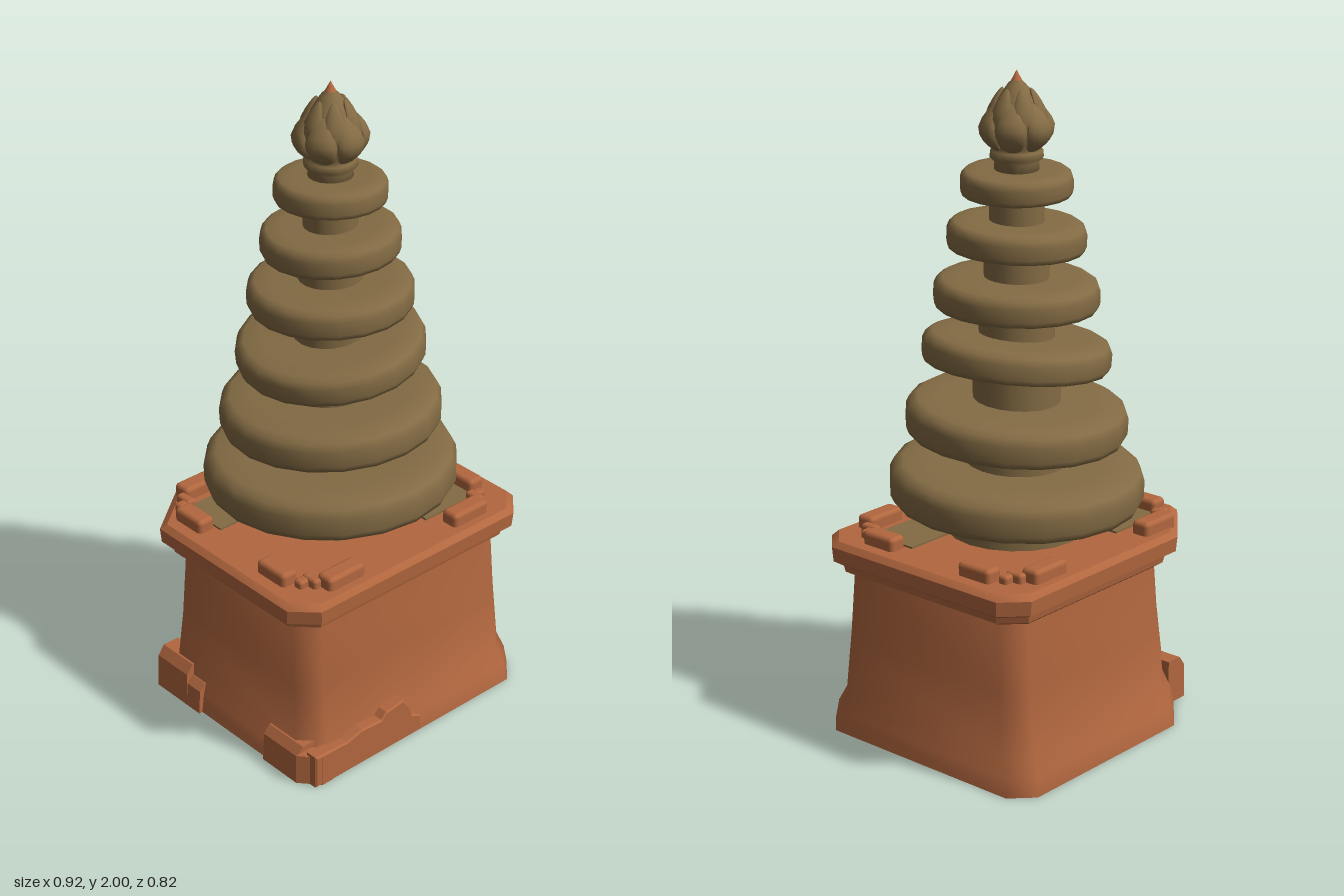
import * as THREE from 'three';
import { toCreasedNormals } from 'three/addons/utils/BufferGeometryUtils.js';
import { RoundedBoxGeometry } from 'three/addons/geometries/RoundedBoxGeometry.js';

export function createModel() {
  const model = new THREE.Group();
  const clay = new THREE.MeshStandardMaterial({ color: 0xb2673f, side: THREE.DoubleSide });
  clay.name = 'terracotta';
  const stone = new THREE.MeshStandardMaterial({ color: 0x836b44 });
  stone.name = 'olive stone';

  const add = (name, geo, mat, x = 0, y = 0, z = 0, parent = model) => {
    const m = new THREE.Mesh(geo, mat);
    m.name = name;
    m.position.set(x, y, z);
    parent.add(m);
    return m;
  };

  // Rectangle with cut corners; the back corner on -x is broken off wider
  const ring = (hx, hz, c) => [
    [hx - c, hz], [hx, hz - c], [hx, -hz + c], [hx - c, -hz],
    [-hx + 0.18, -hz], [-hx, -hz + 0.14], [-hx, hz - c], [-hx + c, hz],
  ];
  // Skin a stack of [y, halfX, halfZ, corner] sections, optionally closed on top
  const loft = (sections, crease, cap) => {
    const pos = [], idx = [];
    for (const [y, hx, hz, c] of sections) for (const [x, z] of ring(hx, hz, c)) pos.push(x, y, z);
    for (let s = 0; s < sections.length - 1; s++) {
      for (let i = 0; i < 8; i++) {
        const a = s * 8 + i, b = s * 8 + (i + 1) % 8;
        idx.push(a, b, a + 8, b, b + 8, a + 8);
      }
    }
    if (cap) {
      const o = (sections.length - 1) * 8;
      for (let i = 1; i < 7; i++) idx.push(o, o + i, o + i + 1);
    }
    const g = new THREE.BufferGeometry();
    g.setAttribute('position', new THREE.Float32BufferAttribute(pos, 3));
    g.setIndex(idx);
    return toCreasedNormals(g, crease);
  };

  // Hollow pedestal, open underneath
  add('pedestalWalls', loft([
    [0, 0.44, 0.408, 0.065], [0.06, 0.432, 0.4, 0.065], [0.11, 0.42, 0.376, 0.065],
    [0.3, 0.41, 0.356, 0.06], [0.52, 0.402, 0.342, 0.06],
  ], 0.9, false), clay);
  add('cornice', loft([
    [0.51, 0.402, 0.342, 0.06], [0.525, 0.428, 0.362, 0.065], [0.545, 0.432, 0.366, 0.065],
    [0.56, 0.455, 0.39, 0.07], [0.605, 0.458, 0.393, 0.07], [0.622, 0.442, 0.378, 0.07],
  ], 0.6, true), clay);

  // Low kerb blocks and stepped corner stones around the pedestal top
  for (const sx of [-1, 1]) {
    for (const sz of [-1, 1]) {
      add('kerbBlock', new RoundedBoxGeometry(0.14, 0.055, 0.06, 2, 0.014), clay, sx * 0.25, 0.635, sz * 0.324);
      add('kerbBlock', new RoundedBoxGeometry(0.058, 0.055, 0.12, 2, 0.014), clay, sx * 0.377, 0.635, sz * 0.188);
      add('cornerStone', new RoundedBoxGeometry(0.03, 0.04, 0.06, 2, 0.01), clay, sx * 0.33, 0.63, sz * 0.286);
      add('cornerStone', new RoundedBoxGeometry(0.06, 0.035, 0.032, 2, 0.01), clay, sx * 0.345, 0.628, sz * 0.272);
    }
  }
  // Worn paving patches at two opposite corners
  for (const s of [-1, 1]) {
    add('pavingPatch', new THREE.BoxGeometry(0.2, 0.008, 0.16), stone, s * 0.245, 0.624, s * 0.185);
  }

  // Crumbled footing: a ragged front strip and rough chunks on the -x side
  const rag = new THREE.Shape([
    [-0.42, 0], [0, 0], [-0.005, 0.045], [-0.04, 0.065], [-0.05, 0.1], [-0.075, 0.135],
    [-0.14, 0.125], [-0.16, 0.105], [-0.24, 0.11], [-0.3, 0.095], [-0.42, 0.1],
  ].map(([x, y]) => new THREE.Vector2(x, y)));
  add('ragged footing', new THREE.ExtrudeGeometry(rag, {
    depth: 0.035, bevelEnabled: true, bevelSize: 0.005, bevelThickness: 0.005, bevelSegments: 1,
  }), clay, 0, 0.005, 0.369);
  const chunk = (points, z, depth) => {
    const shape = new THREE.Shape(points.map(([x, y]) => new THREE.Vector2(x, y)));
    add('footing chunk', new THREE.ExtrudeGeometry(shape, { depth, bevelEnabled: false }), clay, 0, 0, z);
  };
  const side = [[-0.452, 0], [-0.37, 0], [-0.37, 0.14], [-0.425, 0.14], [-0.447, 0.11]];
  chunk(side, -0.3, 0.14);
  chunk(side.map(([x, y]) => [x, y * 0.72]), -0.16, 0.06);
  chunk(side.map(([x, y]) => [x, y * 0.85]), 0.2, 0.15);
  // Angled piece joining the front strip and the side chunk
  const corner = new THREE.Shape([[-0.452, -0.35], [-0.4, -0.41], [-0.36, -0.41], [-0.37, -0.33]]
    .map(([x, y]) => new THREE.Vector2(x, y)));
  const cornerGeo = new THREE.ExtrudeGeometry(corner, { depth: 0.1, bevelEnabled: false });
  cornerGeo.rotateX(-Math.PI / 2);
  add('footing corner', cornerGeo, clay);

  // Stepped shaft: [bottom, top, radius]
  for (const [y0, y1, r] of [
    [0.61, 0.77, 0.21], [0.77, 0.97, 0.155], [0.97, 1.18, 0.13],
    [1.18, 1.35, 0.112], [1.35, 1.52, 0.096], [1.52, 1.68, 0.08],
  ]) add('shaft', new THREE.CylinderGeometry(r, r, y1 - y0, 20), stone, 0, (y0 + y1) / 2, 0);

  // Six shrinking, slightly tilted discs: [y, radius, thickness, slope in x, slope in z]
  for (const [y, r, t, sx, sz] of [
    [0.77, 0.38, 0.125, 0, 0.045], [0.968, 0.33, 0.112, 0.02, 0.055],
    [1.172, 0.28, 0.095, 0.1, 0.02], [1.348, 0.244, 0.092, 0.01, 0.03],
    [1.518, 0.204, 0.086, 0.02, 0.04], [1.675, 0.164, 0.075, -0.03, 0.035],
  ]) {
    const h = t / 2;
    const profile = [
      [0, -h], [r * 0.86, -h], [r * 0.97, -h * 0.85], [r, -h * 0.5], [r, h * 0.35],
      [r * 0.97, h * 0.75], [r * 0.9, h], [r * 0.7, h * 1.06], [0, h * 1.06],
    ].map(([a, b]) => new THREE.Vector2(a, b));
    const disc = add('disc', new THREE.LatheGeometry(profile, 20), stone, 0, y, 0);
    disc.rotation.set(-Math.atan(sz), 0, Math.atan(sx));
  }

  // Bud finial: neck, core, two rows of petals and a clay tip
  const finial = new THREE.Group();
  finial.name = 'finial';
  model.add(finial);
  const core = [
    [0, 1.69], [0.068, 1.69], [0.064, 1.735], [0.078, 1.75], [0.076, 1.77], [0.06, 1.778],
    [0.088, 1.82], [0.085, 1.86], [0.055, 1.92], [0.026, 1.96], [0, 1.985],
  ].map(([a, b]) => new THREE.Vector2(a, b));
  add('budCore', new THREE.LatheGeometry(core, 16), stone, 0, 0, 0, finial);
  const petal = (height, width, reach) => {
    const g = new THREE.SphereGeometry(1, 10, 10);
    const p = g.attributes.position;
    for (let i = 0; i < p.count; i++) {
      const u = (p.getY(i) + 1) / 2;
      const pinch = u > 0.5 ? 1.4 - 0.8 * u : 1;
      const bulge = reach * (0.62 + 0.38 * Math.sin(Math.PI * Math.pow(u, 0.9)));
      p.setXYZ(i, p.getX(i) * width * pinch, u * height, p.getZ(i) * 0.026 * pinch + bulge);
    }
    g.computeVertexNormals();
    return g;
  };
  const outer = petal(0.145, 0.047, 0.086), inner = petal(0.175, 0.04, 0.066);
  for (let i = 0; i < 6; i++) {
    add('outerPetal', outer, stone, 0, 1.768, 0, finial).rotation.y = i * Math.PI / 3;
    add('innerPetal', inner, stone, 0, 1.775, 0, finial).rotation.y = (i + 0.5) * Math.PI / 3;
  }
  add('tip', new THREE.ConeGeometry(0.021, 0.04, 10), clay, 0, 1.98, 0, finial);

  return model;
}
